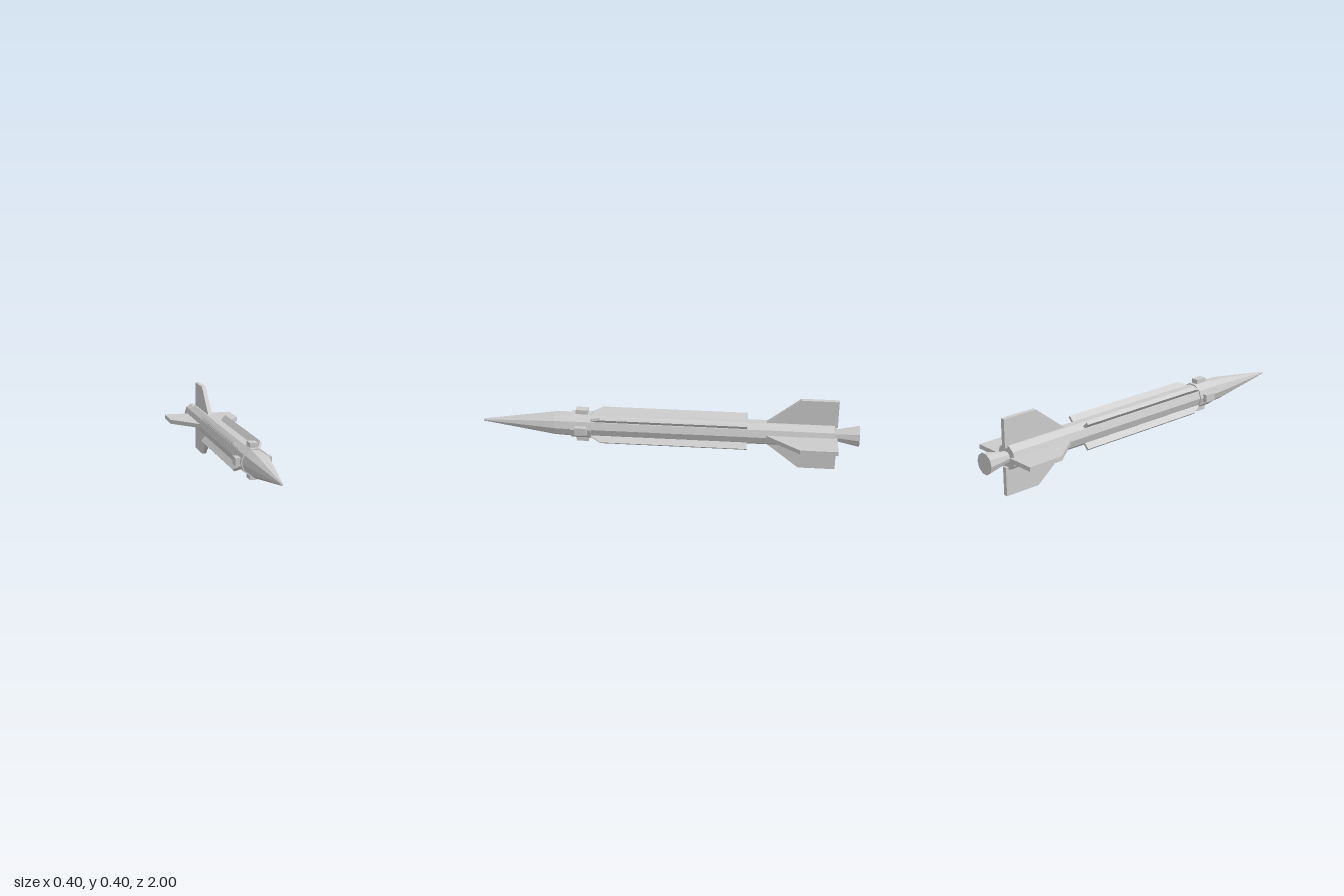
import * as THREE from 'three';

const AXIS_Y = 0.2;
const SIDES = 10;

export function createModel() {
  const model = new THREE.Group();
  const rocket = new THREE.Group();
  rocket.name = 'rocket';
  rocket.position.y = AXIS_Y;
  model.add(rocket);

  const material = new THREE.MeshStandardMaterial({ color: 0xcccccc, flatShading: true });

  const add = (name, geometry, parent = rocket) => {
    const mesh = new THREE.Mesh(geometry, material);
    mesh.name = name;
    parent.add(mesh);
    return mesh;
  };

  // Ten-sided section along z, with corners on +x and -x
  const section = (name, zBack, rBack, zFront, rFront) => {
    const g = new THREE.CylinderGeometry(rFront, rBack, zFront - zBack, SIDES, 1, false, Math.PI / 2);
    g.rotateX(Math.PI / 2);
    g.translate(0, 0, (zFront + zBack) / 2);
    return add(name, g);
  };

  // Upright plate from [z, radius] points, centred on x = 0
  const plate = (points, thickness) => {
    const shape = new THREE.Shape(points.map(([z, r]) => new THREE.Vector2(-z, r)));
    const g = new THREE.ExtrudeGeometry(shape, { depth: thickness, bevelEnabled: false });
    g.translate(0, 0, -thickness / 2);
    g.rotateY(Math.PI / 2);
    return g;
  };

  // Fuselage, collar, nose and engine nozzle
  section('body', -0.87, 0.065, 0.51, 0.065);
  section('collar', 0.41, 0.072, 0.52, 0.072);
  section('noseBase', 0.51, 0.066, 0.61, 0.062);
  section('noseCone', 0.61, 0.062, 1, 0.006);
  section('nozzle', -1, 0.056, -0.86, 0.027);

  const finGeometry = plate([[-0.5, 0.05], [-0.69, 0.2], [-0.885, 0.2], [-0.885, 0.05]], 0.023);
  const strakeGeometry = plate([[0.45, 0.05], [0.36, 0.1], [-0.415, 0.1], [-0.415, 0.05]], 0.014);
  const lugGeometry = new THREE.BoxGeometry(0.041, 0.04, 0.065);
  lugGeometry.translate(0, 0.072, 0.463);

  // Four fins and lugs on the axes, four strakes on the diagonals
  for (let i = 0; i < 4; i++) {
    const angle = (i * Math.PI) / 2;
    add('tailFin', finGeometry).rotation.z = angle;
    add('collarLug', lugGeometry).rotation.z = angle;
    add('strake', strakeGeometry).rotation.z = angle + Math.PI / 4;
  }

  return model;
}
